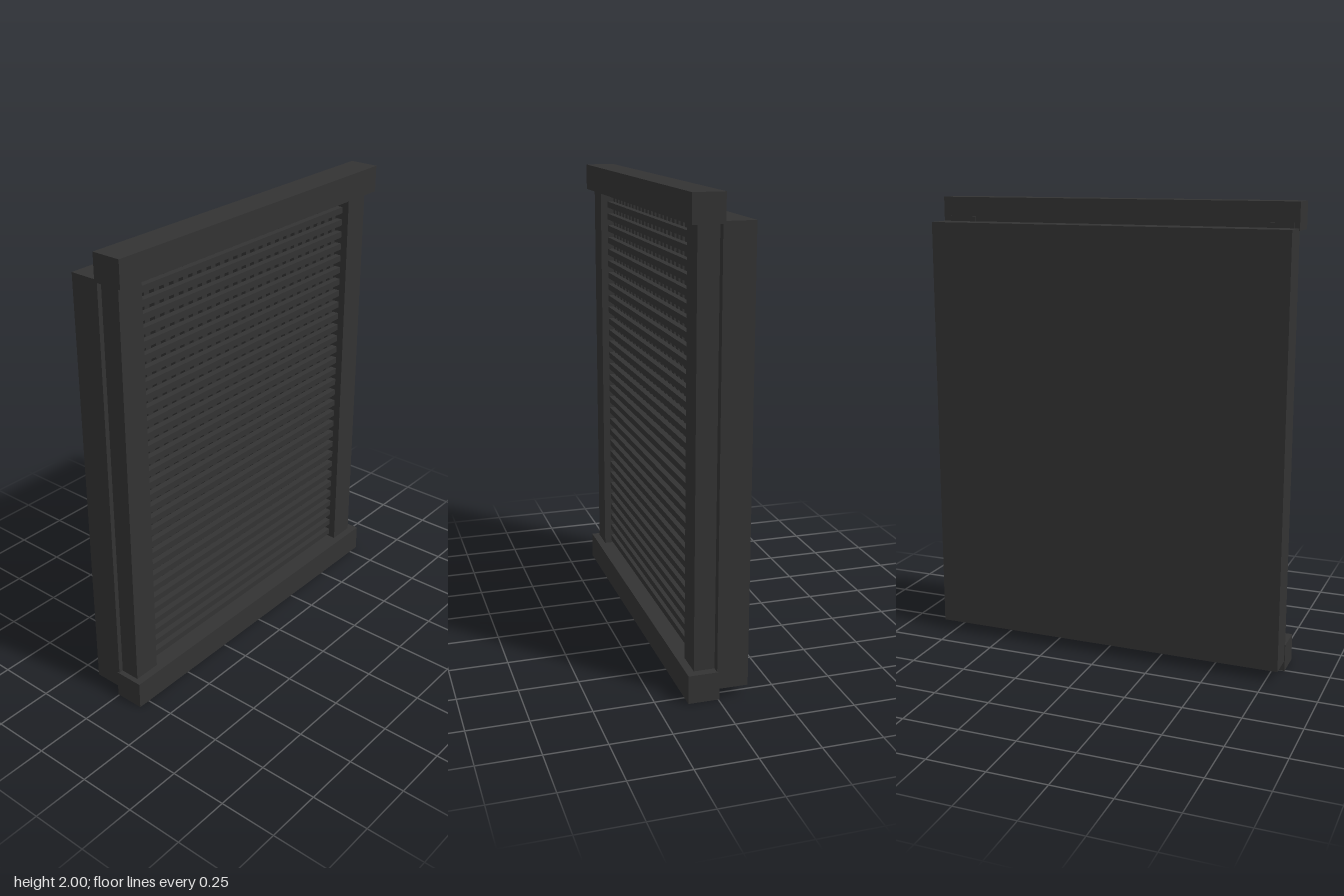
import * as THREE from 'three';

export function createModel() {
  const model = new THREE.Group();
  const material = new THREE.MeshStandardMaterial({ color: 0x333333 });

  // Box given by its lower and upper limits on each axis
  function box(name, [x0, x1], [y0, y1], [z0, z1], parent = model) {
    const mesh = new THREE.Mesh(new THREE.BoxGeometry(x1 - x0, y1 - y0, z1 - z0), material);
    mesh.position.set((x0 + x1) / 2, (y0 + y1) / 2, (z0 + z1) / 2);
    mesh.name = name;
    parent.add(mesh);
  }

  // Back panel and frame
  box('backPanel', [-0.8, 0.8], [0.045, 1.895], [-0.125, 0.005]);
  box('topRail', [-0.803, 0.803], [1.885, 2], [-0.005, 0.125]);
  box('bottomRail', [-0.803, 0.803], [0, 0.12], [-0.005, 0.125]);
  box('rightStile', [-0.78, -0.66], [0.09, 1.917], [-0.012, 0.092]);
  box('leftStile', [0.648, 0.768], [0.09, 1.917], [-0.012, 0.092]);

  // Grille: horizontal slats in front of upright bars
  const grille = new THREE.Group();
  grille.name = 'grille';
  model.add(grille);
  const left = -0.66, right = 0.648, pitch = 0.0558, width = 0.028;
  for (let i = 0; i < 31; i++) {
    const y = 1.822 - i * pitch;
    box('slat', [left, right], [y - width / 2, y + width / 2], [0.032, 0.06], grille);
  }
  const bars = 24, step = (right - left) / bars;
  for (let i = 0; i < bars; i++) {
    const x = left + (i + 0.5) * step;
    box('uprightBar', [x - width / 2, x + width / 2], [0.12, 1.885], [0.005, 0.034], grille);
  }

  return model;
}
